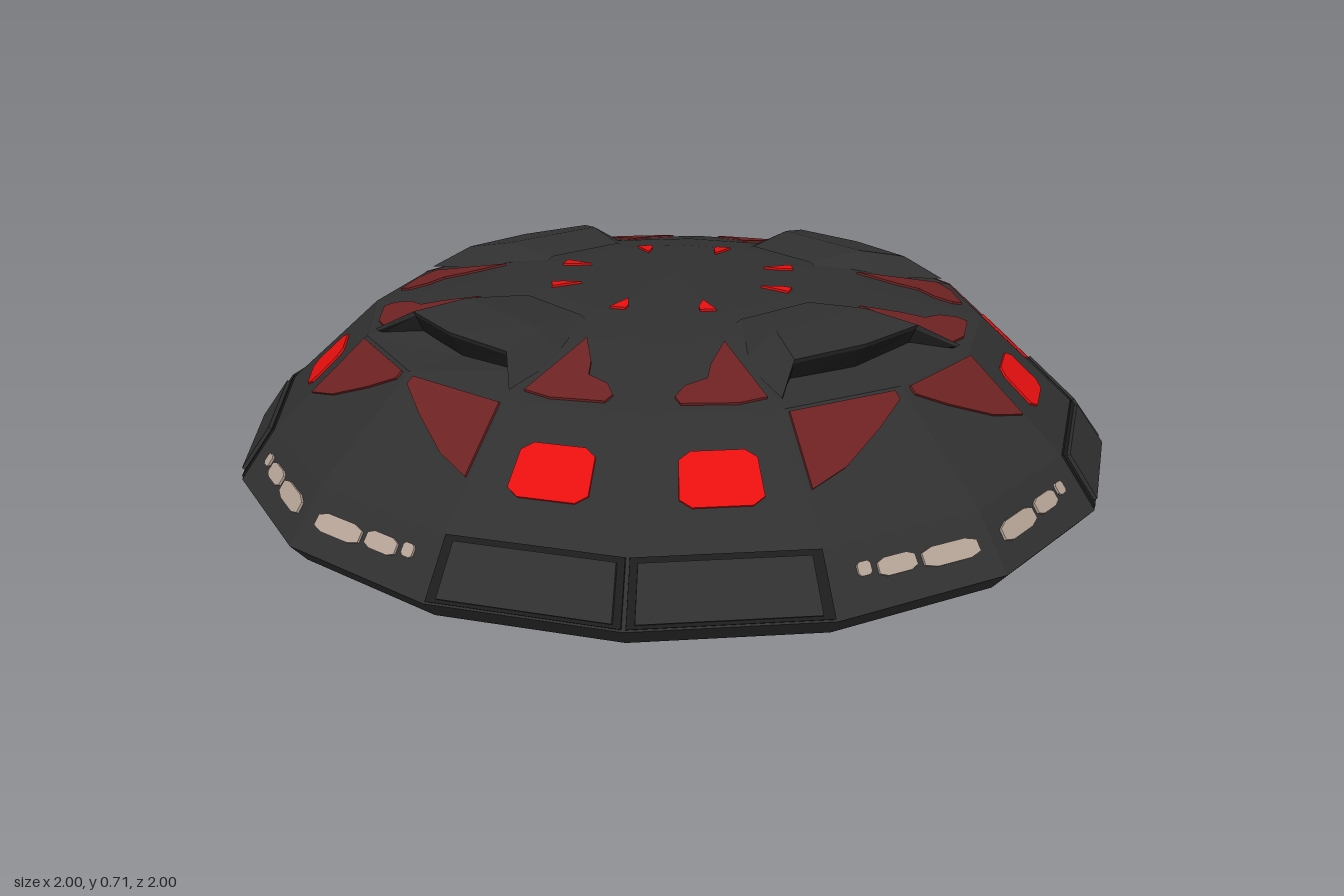
import * as THREE from 'three';

const paint = (name, color) => {
  const m = new THREE.MeshStandardMaterial({ color });
  m.name = name;
  return m;
};
const HULL = paint('charcoal hull', 0x303030);
const DARK = paint('dark recess', 0x1c1c1c);
const RED = paint('bright red', 0xe80f0f);
const MAROON = paint('dark red', 0x6e2222);
const BEIGE = paint('beige light', 0xb5a396);
const TEAL = paint('teal window', 0x6fb0ba);

const STEP = Math.PI / 8; // the saucer has sixteen sides
// point at side corner k, radius r, height y
const P = (k, r, y) => new THREE.Vector3(r * Math.sin(k * STEP), y, r * Math.cos(k * STEP));
const V = (x, y, z) => new THREE.Vector3(x, y, z);

// flat-shaded surface through rows of points, columns running to the right
function grid(rows) {
  const pts = [];
  for (let i = 0; i < rows.length - 1; i++) {
    for (let j = 0; j < rows[i].length - 1; j++) {
      const a = rows[i][j], b = rows[i][j + 1], c = rows[i + 1][j + 1], d = rows[i + 1][j];
      pts.push(a, b, c, a, c, d);
    }
  }
  const g = new THREE.BufferGeometry().setFromPoints(pts);
  g.computeVertexNormals();
  return g;
}

// thin plate on the facet between corners k0..k1 and rings lo..hi, outline in facet units
function plate(k0, k1, lo, hi, outline, depth) {
  const a = P(k0, ...lo), b = P(k1, ...lo), c = P(k1, ...hi), d = P(k0, ...hi);
  const n = b.clone().sub(a).cross(d.clone().sub(a)).normalize();
  const shape = new THREE.Shape(outline.map(([u, v]) => new THREE.Vector2(u, v)));
  const g = new THREE.ExtrudeGeometry(shape, { depth, bevelEnabled: false });
  const pos = g.attributes.position;
  for (let i = 0; i < pos.count; i++) {
    const u = pos.getX(i), v = pos.getY(i);
    const p = a.clone().lerp(b, u).lerp(d.clone().lerp(c, u), v).addScaledVector(n, pos.getZ(i));
    pos.setXYZ(i, p.x, p.y, p.z);
  }
  g.computeVertexNormals();
  return g;
}

// rectangle with clipped corners
function rect(u0, u1, v0, v1, f = 0.15) {
  const a = (u1 - u0) * f, b = (v1 - v0) * f;
  return [[u0 + a, v0], [u1 - a, v0], [u1, v0 + b], [u1, v1 - b],
    [u1 - a, v1], [u0 + a, v1], [u0, v1 - b], [u0, v0 + b]];
}

function createQuarter() {
  const q = new THREE.Group();
  const add = (name, geo, mat) => {
    const m = new THREE.Mesh(geo, mat);
    m.name = name;
    q.add(m);
  };
  // a plate and its mirror image
  const pair = (name, mat, k0, k1, lo, hi, outline, depth = 0.005) => {
    add(name, plate(k0, k1, lo, hi, outline, depth), mat);
    add(name, plate(-k1, -k0, lo, hi, outline.map(([u, v]) => [1 - u, v]), depth), mat);
  };

  // shared rings: [radius, height]
  const lip = [0.965, 0.28], rim = [1, 0.32], shoulder = [0.92, 0.43], brow = [0.705, 0.625];
  const dome = [0.45, 0.68], crown = [0.3, 0.7], peak = [0, 0.71];
  const keelIn = [0.2, 0.02], neckIn = [0.3, 0.2], deck = [0.47, 0.245], wedge = [0.55, 0.215];
  const keel = [0.225, 0.015], neck = [0.42, 0.2], belly = [0.54, 0.255], bellyEdge = [0.94, 0.295];
  const IN = 0.15;

  // sector with the hood and the thick lower wedge
  const axis = ([r, y, mid = y]) => [P(-1, r, y), P(0, r, mid), P(1, r, y)];
  add('hoodSector', grid([deck, wedge, lip, rim, shoulder, brow, [0.58, 0.652, 0.632],
    dome, crown, peak].map(axis)), HULL);
  add('keelRecess', grid([keelIn, neckIn, deck].map(axis)), DARK);

  // sector with the side panels and the sunken belly
  const diag = ([r, y, inset = 0]) => [P(1 + inset, r, y), P(2, r, y), P(3 - inset, r, y)];
  add('panelSector', grid([[...keel, IN], [...neck, IN], [...belly, IN], [...bellyEdge, IN],
    lip, rim, shoulder, brow, dome, crown, peak].map(diag)), HULL);

  // slanted walls joining the two kinds of sector
  const wallA = [keelIn, neckIn, deck, wedge, lip];
  const wallB = [keel, neck, [0.47, 0.223], belly, bellyEdge];
  add('sectorWall', grid(wallA.map((p, i) => [P(1, ...p), P(1 + IN, ...wallB[i])])), HULL);
  add('sectorWall', grid(wallA.map((p, i) => [P(-1 - IN, ...wallB[i]), P(-1, ...p)])), HULL);

  // raised hood with a dark slot under its front edge
  const span = (t, b, yt, yb, zt, zb, zm = zt) =>
    [V(-b, yb, zb), V(-t, yt, zt), V(0, yt, zm), V(t, yt, zt), V(b, yb, zb)];
  const front = span(0.18, 0.26, 0.688, 0.64, 0.585, 0.635, 0.605);
  add('hood', grid([front, span(0.13, 0.21, 0.71, 0.66, 0.48, 0.47),
    span(0.1, 0.13, 0.698, 0.685, 0.34, 0.34)]), HULL);
  const under = span(0.178, 0.255, 0.678, 0.636, 0.58, 0.632, 0.6);
  add('hoodLip', grid([under, front]), HULL);
  add('hoodSlot', grid([span(0.17, 0.25, 0.628, 0.63, 0.56, 0.62, 0.575), under]), DARK);

  // paired fins in the keel recess
  for (const s of [-1, 1]) {
    const row = (xa, xb, y, zi, zo) => {
      const r = [V(s * xa, y, zi), V(s * xa, y, zo), V(s * xb, y, zo), V(s * xb, y, zi)];
      return s > 0 ? r : r.reverse();
    };
    add('keelFin', grid([row(0.01, 0.05, 0.018, 0.18, 0.225), row(0.03, 0.115, 0.215, 0.27, 0.415)]), HULL);
  }

  // rim panels, each over a dark seam
  pair('rimSeam', DARK, 1, 2, rim, shoulder, rect(0.01, 0.99, 0.03, 0.99, 0), 0.004);
  pair('rimPanel', HULL, 1, 2, rim, shoulder, rect(0.07, 0.95, 0.08, 0.9, 0), 0.012);

  // lights and painted marks
  for (const [u0, u1, v0, v1] of [[0.1, 0.45, 0.37, 0.66], [0.49, 0.72, 0.42, 0.68], [0.76, 0.84, 0.5, 0.7]]) {
    pair('rimLight', BEIGE, 0, 1, rim, shoulder, rect(u0, u1, v0, v1, 0.2));
  }
  pair('hullLight', RED, 1, 2, shoulder, brow, rect(0.25, 0.74, 0.31, 0.71));
  pair('hullMark', MAROON, 0, 1, shoulder, brow,
    [[0.08, 0.97], [0.08, 0.9], [0.35, 0.72], [0.7, 0.5], [0.97, 0.4], [0.97, 0.97]]);
  pair('domeMark', MAROON, 1, 2, brow, dome,
    [[0.07, 0.15], [0.3, 0.08], [0.72, 0.1], [0.76, 0.2], [0.68, 0.35], [0.48, 0.45], [0.42, 0.65], [0.18, 1]]);
  pair('crownLight', RED, 1, 2, crown, peak, [[-0.04, 0.04], [0.27, 0.04], [0.25, 0.12], [0.03, 0.27]]);
  pair('wedgeLight', BEIGE, 0, 1, wedge, lip, rect(0.28, 0.5, 0.31, 0.42, 0.25));
  pair('wedgeLight', BEIGE, 0, 1, wedge, lip, rect(0.5, 0.6, 0.34, 0.42, 0.25));
  pair('bellyMark', MAROON, 1 + IN, 2, belly, bellyEdge,
    [[0.1, 0.08], [0.6, 0.1], [0.52, 0.4], [0.62, 0.93], [0.05, 0.93], [0.04, 0.75]]);
  pair('neckWindow', TEAL, 1 + IN, 2, neck, belly, rect(0.18, 0.8, 0.22, 0.78, 0.25));
  pair('recessLight', RED, 0, 1, keelIn, neckIn, rect(0.8, 0.97, 0.65, 0.95));
  return q;
}

export function createModel() {
  const model = new THREE.Group();
  model.name = 'saucer';
  for (let i = 0; i < 4; i++) {
    const q = createQuarter();
    q.name = 'hullQuarter';
    q.rotation.y = i * Math.PI / 2;
    model.add(q);
  }
  // shallow cap closing the keel
  const cap = new THREE.LatheGeometry([new THREE.Vector2(0, 0), new THREE.Vector2(0.226, 0.018)], 16).toNonIndexed();
  cap.computeVertexNormals();
  const base = new THREE.Mesh(cap, HULL);
  base.name = 'keelCap';
  model.add(base);
  return model;
}
